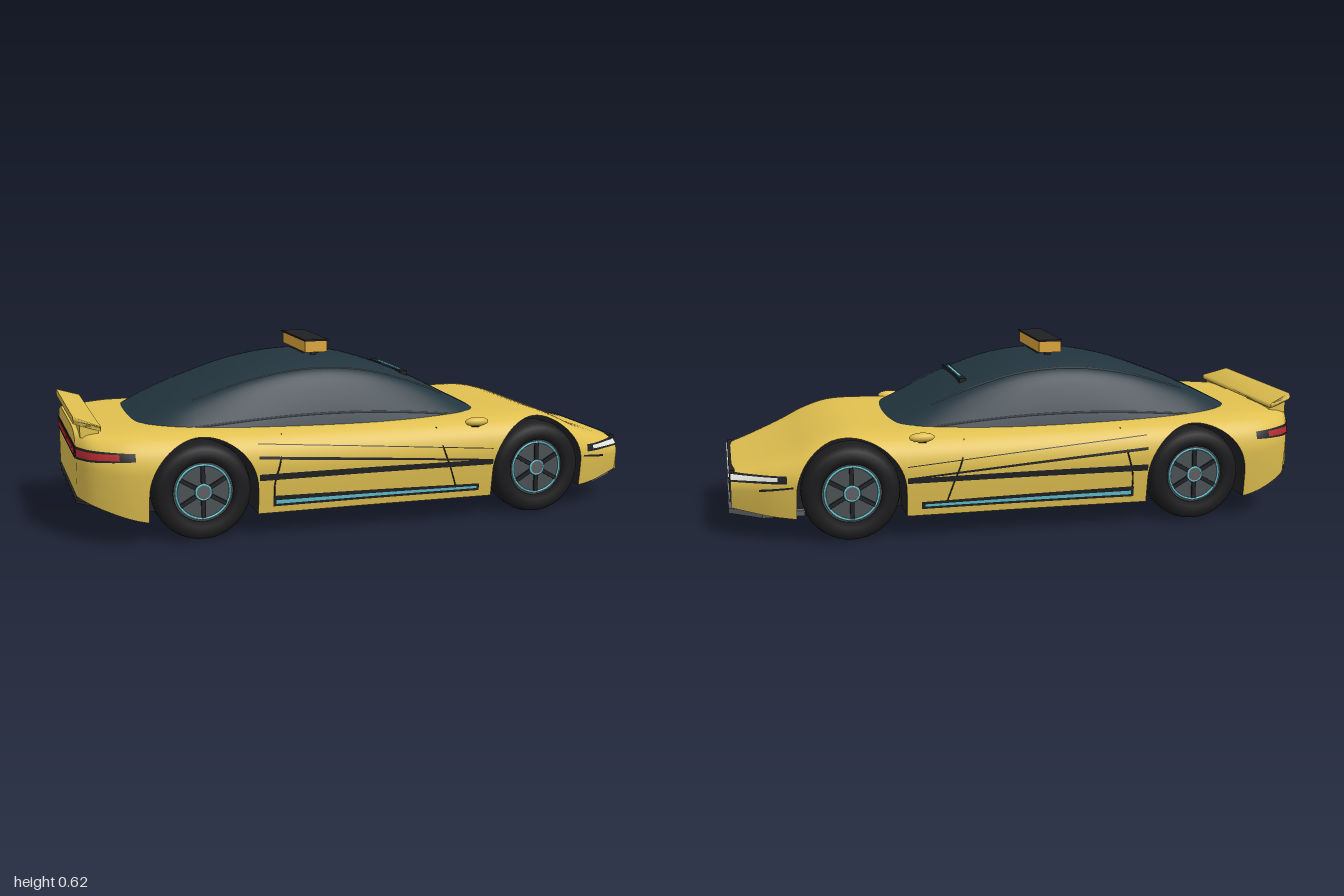
import * as THREE from 'three';

const mat = (color) => new THREE.MeshStandardMaterial({ color, side: THREE.DoubleSide });
const M = {
  paint: mat(0xe0c050), glass: mat(0x22343e), black: mat(0x202124), tyre: mat(0x1b1b1d), grey: mat(0x5c5f63),
  rim: mat(0x4a5054), cyan: mat(0x62c4d2), white: mat(0xe4e4de), red: mat(0xb02a30), amber: mat(0xdda63c), trim: mat(0x66737a),
};
const V = (x, y, z) => new THREE.Vector3(x, y, z);

// Smooth lookup in a table of [position, value]
function look(t, x) {
  if (x <= t[0][0]) return t[0][1];
  let i = 0;
  while (i < t.length - 2 && x > t[i + 1][0]) i++;
  if (x >= t[i + 1][0]) return t[i + 1][1];
  const slope = (k) => {
    const a = t[Math.max(k - 1, 0)], b = t[Math.min(k + 1, t.length - 1)];
    return (b[1] - a[1]) / (b[0] - a[0]);
  };
  const [x0, v0] = t[i], [x1, v1] = t[i + 1], d = x1 - x0, u = (x - x0) / d, u2 = u * u, u3 = u2 * u;
  return v0 * (2 * u3 - 3 * u2 + 1) + slope(i) * d * (u3 - 2 * u2 + u) + v1 * (3 * u2 - 2 * u3) + slope(i + 1) * d * (u3 - u2);
}

// Body tables along x: half width, top and underside
const WIDTH = [[-0.995, 0.29], [-0.96, 0.355], [-0.9, 0.4], [-0.83, 0.425], [-0.7, 0.434], [-0.4, 0.43], [0, 0.425], [0.4, 0.43], [0.6, 0.43], [0.75, 0.405], [0.85, 0.365], [0.93, 0.315], [0.99, 0.275]];
const TOP = [[-0.995, 0.37], [-0.9, 0.368], [-0.8, 0.372], [-0.5, 0.368], [0, 0.36], [0.4, 0.36], [0.6, 0.36], [0.7, 0.334], [0.8, 0.288], [0.9, 0.252], [0.99, 0.226]];
const UNDER = [[-0.995, 0.15], [-0.8, 0.082], [-0.7, 0.08], [0.7, 0.08], [0.85, 0.086], [0.99, 0.103]];
// Half section from top centre to sill: [width fraction, height fraction]
const SECTION = new THREE.CatmullRomCurve3([[0, 1], [0.3, 1], [0.58, 0.997], [0.78, 0.972], [0.88, 0.92], [0.94, 0.84], [0.98, 0.74], [1, 0.6], [0.995, 0.45], [0.975, 0.2], [0.955, 0]]
  .map(([w, h]) => V(w, h, 0))).getPoints(40);

function sideZ(x, y) {
  const b = look(UNDER, x), h = (y - b) / (look(TOP, x) - b);
  for (let i = SECTION.length - 1; i > 0; i--) {
    const p = SECTION[i], q = SECTION[i - 1];
    if (h <= q.y && q.y > p.y) return look(WIDTH, x) * (p.x + (q.x - p.x) * Math.max(0, (h - p.y) / (q.y - p.y)));
  }
  return 0;
}

function loft(rows, material, name) {
  const n = rows[0].length, index = [];
  for (let i = 0; i < rows.length - 1; i++) for (let j = 0; j < n - 1; j++) {
    const a = i * n + j, b = a + n;
    index.push(a, a + 1, b, b, a + 1, b + 1);
  }
  const g = new THREE.BufferGeometry().setFromPoints(rows.flat());
  g.setIndex(index);
  g.computeVertexNormals();
  return mesh(g, material, name);
}
function mesh(g, material, name) {
  const m = new THREE.Mesh(g, material);
  m.name = name;
  return m;
}
function box(x0, x1, y0, y1, z0, z1, material, name) {
  const m = mesh(new THREE.BoxGeometry(x1 - x0, y1 - y0, z1 - z0), material, name);
  m.position.set((x0 + x1) / 2, (y0 + y1) / 2, (z0 + z1) / 2);
  return m;
}
const tube = (pts, r, material, name) =>
  mesh(new THREE.TubeGeometry(new THREE.CatmullRomCurve3(pts), 40, r, 5), material, name);

// Strip lying on the body side; low and high edges are [start, end] heights
function ribbon(s, x0, x1, low, high, lift, material, name) {
  const rows = [];
  for (let i = 0; i <= 24; i++) {
    const u = i / 24, x = x0 + (x1 - x0) * u, a = low[0] + (low[1] - low[0]) * u, b = high[0] + (high[1] - high[0]) * u;
    rows.push([0, 0.33, 0.67, 1].map((t) => V(x, a + (b - a) * t, s * (sideZ(x, a + (b - a) * t) + lift))));
  }
  return loft(rows, material, name);
}

const AXLES = [-0.6, 0.6], ARCH = 0.18, HUB = 0.165, WELL = 0.27;

function makeBody() {
  const g = new THREE.Group();
  g.name = 'body';
  // Stations: plain stretches alternate with the wheel arches
  const range = (a, b, n, arch) => Array.from({ length: n + 1 }, (_, i) => ({ x: a + (b - a) * i / n, arch: false }));
  const archRange = (c) => [{ x: c - ARCH - 0.001, arch: false }, ...Array.from({ length: 29 }, (_, i) => {
    const a = Math.PI * (1 - i / 28);
    return { x: c + ARCH * Math.cos(a), arch: true, y: HUB + ARCH * Math.sin(a) };
  }), { x: c + ARCH + 0.001, arch: false }];
  const e = ARCH + 0.001;
  const parts = [range(-0.995, -0.6 - e, 16), archRange(-0.6), range(-0.6 + e, 0.6 - e, 30), archRange(0.6), range(0.6 + e, 0.99, 18)];
  const edge = (s) => (s.arch ? s.y : look(UNDER, s.x));
  const skin = (s) => {
    const b = look(UNDER, s.x), t = look(TOP, s.x), w = look(WIDTH, s.x), yb = edge(s);
    const half = SECTION.map((p) => {
      const y = b + p.y * (t - b);
      return y >= yb ? V(s.x, y, w * p.x) : V(s.x, yb, sideZ(s.x, yb));
    });
    return [...half.slice(1).reverse().map((p) => V(p.x, p.y, -p.z)), ...half];
  };
  const all = parts.flat(), rows = all.map(skin);
  g.add(loft(rows, M.paint, 'bodyShell'));
  for (const r of [rows[0], rows[rows.length - 1]])
    g.add(loft([r, r.map((p) => V(p.x, r[0].y, p.z))], M.paint, 'endPanel'));
  g.add(loft(all.map((s) => [-1, 1].map((k) => V(s.x, look(UNDER, s.x), k * Math.min(WELL, sideZ(s.x, look(UNDER, s.x)))))), M.paint, 'floor'));
  parts.forEach((part, i) => [1, -1].forEach((k) => g.add(loft(part.map((s) => {
    const y = edge(s), b = look(UNDER, s.x), z = sideZ(s.x, y), zi = Math.min(WELL, z);
    return [V(s.x, y, k * z), V(s.x, y, k * zi), V(s.x, b, k * zi)];
  }), i % 2 ? M.black : M.paint, i % 2 ? 'wheelArchLiner' : 'sillUnderside'))));
  return g;
}

// Glass canopy
const ROOF = [[-0.8, 0.368], [-0.7, 0.418], [-0.6, 0.462], [-0.4, 0.532], [-0.2, 0.565], [0, 0.55], [0.2, 0.482], [0.4, 0.378], [0.46, 0.345]];
const ROOFWIDTH = [[-0.8, 0.27], [-0.7, 0.315], [-0.6, 0.335], [-0.4, 0.346], [0, 0.342], [0.2, 0.33], [0.46, 0.295]];
const GLASS = new THREE.CatmullRomCurve3([[1, 0], [0.95, 0.22], [0.86, 0.54], [0.78, 0.76], [0.71, 0.86], [0.58, 0.93], [0.4, 0.975], [0.2, 0.995], [0, 1]]
  .map(([w, h]) => V(w, h, 0))).getPoints(24);
const BASE = 0.335;
function canopyPoint(x, p, s) {
  const bow = 0.03 * Math.max(0, (x - 0.1) / 0.36) ** 2 * (0.5 - p.x * p.x);
  return V(x + bow, BASE + p.y * (look(ROOF, x) - BASE), s * p.x * look(ROOFWIDTH, x));
}
function makeCanopy() {
  const g = new THREE.Group(), rows = [];
  g.name = 'canopy';
  for (let i = 0; i <= 50; i++) {
    const x = -0.8 + 1.26 * i / 50;
    rows.push([...GLASS.map((p) => canopyPoint(x, p, 1)), ...GLASS.slice(0, -1).reverse().map((p) => canopyPoint(x, p, -1))]);
  }
  g.add(loft(rows, M.glass, 'glass'));
  for (const s of [1, -1]) {
    const line = (x0, x1, h) => Array.from({ length: 14 }, (_, i) => canopyPoint(x0 + (x1 - x0) * i / 13, h, s));
    g.add(tube(line(-0.6, 0.3, GLASS[12]), 0.003, M.trim, 'windowTrim'));
    g.add(tube(line(-0.66, 0.3, V(0.945, 0.235, 0)), 0.003, M.trim, 'lowerWindowTrim'));
  }
  return g;
}

function makeWheel() {
  const g = new THREE.Group();
  g.name = 'wheel';
  const add = (geo, material, name, z) => {
    const m = mesh(geo, material, name);
    m.position.z = z;
    g.add(m);
    return m;
  };
  const profile = [[0.1, -0.05], [0.115, -0.06], [0.145, -0.058], [0.159, -0.045], [0.165, -0.02], [0.165, 0.02], [0.159, 0.045], [0.145, 0.058], [0.115, 0.06], [0.1, 0.05], [0.1, -0.05]];
  add(new THREE.LatheGeometry(profile.map(([r, y]) => new THREE.Vector2(r, y)), 40), M.tyre, 'tyre', 0).rotation.x = Math.PI / 2;
  add(new THREE.CylinderGeometry(0.102, 0.102, 0.085, 32), M.rim, 'rim', 0).rotation.x = Math.PI / 2;
  add(new THREE.TorusGeometry(0.09, 0.004, 6, 40), M.cyan, 'rimRing', 0.046);
  add(new THREE.TorusGeometry(0.025, 0.004, 6, 24), M.cyan, 'hubRing', 0.052);
  add(new THREE.CylinderGeometry(0.024, 0.024, 0.02, 20), M.grey, 'hub', 0.045).rotation.x = Math.PI / 2;
  for (let i = 0; i < 6; i++) {
    const spoke = add(new THREE.BoxGeometry(0.014, 0.066, 0.012).translate(0, 0.055, 0), M.black, 'spoke', 0.044);
    spoke.rotation.z = i * Math.PI / 3;
  }
  return g;
}

export function createModel() {
  const g = new THREE.Group();
  g.name = 'car';
  g.add(makeBody(), makeCanopy());
  for (const s of [1, -1]) {
    for (const x of AXLES) {
      const w = makeWheel();
      w.position.set(x, HUB, s * 0.35);
      if (s < 0) w.rotation.y = Math.PI;
      g.add(w);
    }
    // Side stripes, sill light, wrap lamps
    g.add(ribbon(s, -0.418, 0.418, [0.195, 0.195], [0.217, 0.213], 0.003, M.black, 'sideStripe'));
    g.add(ribbon(s, -0.418, 0.418, [0.268, 0.208], [0.278, 0.214], 0.003, M.black, 'taperStripe'));
    g.add(ribbon(s, -0.418, 0.418, [0.315, 0.25], [0.318, 0.253], 0.002, M.black, 'creaseLine'));
    g.add(ribbon(s, -0.37, 0.37, [0.103, 0.103], [0.14, 0.128], 0.004, M.black, 'sillPanel'));
    g.add(ribbon(s, -0.36, 0.36, [0.112, 0.112], [0.125, 0.12], 0.007, M.cyan, 'sillLight'));
    g.add(ribbon(s, 0.81, 0.99, [0.205, 0.196], [0.23, 0.222], 0.003, M.black, 'headlampSurround'));
    g.add(ribbon(s, 0.84, 0.99, [0.212, 0.202], [0.224, 0.217], 0.006, M.white, 'headlamp'));
    g.add(ribbon(s, 0.79, 0.9, [0.19, 0.172], [0.196, 0.18], 0.003, M.black, 'noseLine'));
    g.add(ribbon(s, -0.995, -0.82, [0.28, 0.285], [0.32, 0.31], 0.003, M.black, 'tailLampSurround'));
    g.add(ribbon(s, -0.995, -0.87, [0.288, 0.29], [0.312, 0.308], 0.006, M.red, 'tailLamp'));
    for (const seam of [[[-0.33, 0.34], [-0.345, 0.26], [-0.365, 0.18], [-0.365, 0.12]], [[0.22, 0.33], [0.235, 0.26], [0.265, 0.18], [0.285, 0.12]]])
      g.add(tube(seam.map(([x, y]) => V(x, y, s * sideZ(x, y))), 0.0025, M.black, 'doorSeam'));
    // Mirror on a short stalk
    const mirror = mesh(new THREE.SphereGeometry(1, 20, 12), M.paint, 'mirror');
    mirror.scale.set(0.043, 0.016, 0.019);
    mirror.position.set(0.365, 0.344, s * 0.402);
    g.add(mirror, box(0.35, 0.375, 0.325, 0.34, s * 0.39 - 0.012, s * 0.39 + 0.012, M.black, 'mirrorStalk'));
    g.add(box(0.98, 0.995, 0.118, 0.188, s * 0.23 - 0.012, s * 0.23 + 0.012, M.black, 'cornerLampSurround'));
    g.add(box(0.985, 0.998, 0.126, 0.18, s * 0.23 - 0.007, s * 0.23 + 0.007, M.white, 'cornerLamp'));
    g.add(box(-0.15, -0.13, 0.55, 0.58, s * 0.11 - 0.006, s * 0.11 + 0.006, M.black, 'signFoot'));
  }
  // Nose and tail lights
  g.add(box(0.975, 0.994, 0.195, 0.228, -0.245, 0.245, M.black, 'lightBarSurround'));
  g.add(box(0.98, 0.998, 0.203, 0.22, -0.24, 0.24, M.white, 'lightBar'));
  g.add(box(0.98, 0.995, 0.13, 0.151, -0.118, 0.118, M.black, 'grille'));
  g.add(box(-0.998, -0.985, 0.28, 0.32, -0.285, 0.285, M.black, 'rearLampSurround'));
  for (let i = 0; i < 10; i++)
    g.add(box(-1, -0.985, 0.288, 0.312, -0.278 + i * 0.056, -0.226 + i * 0.056, M.red, 'rearLamp'));
  // Roof sign and windscreen slat
  g.add(box(-0.18, -0.1, 0.575, 0.616, -0.15, 0.15, M.amber, 'roofSign'));
  g.add(box(-0.183, -0.097, 0.614, 0.62, -0.155, 0.155, M.black, 'signTop'));
  g.add(box(-0.17, -0.11, 0.55, 0.576, -0.078, 0.078, M.black, 'signBase'));
  g.add(box(0.168, 0.192, 0.478, 0.496, -0.165, 0.165, M.black, 'windscreenSlat'));
  g.add(box(0.176, 0.186, 0.485, 0.499, -0.12, 0.12, M.cyan, 'slatLight'));
  // Front splitter
  const plan = new THREE.Shape([[0.75, -0.3], [0.89, -0.3], [1, -0.21], [1, 0.21], [0.89, 0.3], [0.75, 0.3]].map(([x, z]) => new THREE.Vector2(x, z)));
  const splitter = mesh(new THREE.ExtrudeGeometry(plan, { depth: 0.018, bevelEnabled: false }), M.grey, 'splitter');
  splitter.rotation.x = Math.PI / 2;
  splitter.position.y = 0.089;
  g.add(splitter);
  // Rear wing, tapering in plan towards the tail
  const wing = [[-1, 0.418], [-0.915, 0.388], [-0.915, 0.372], [-1, 0.395], [-1, 0.418]];
  g.add(loft([0, -1, 1, 0].map((s) => wing.map(([x, y]) => V(x, s ? y : 0.393 - (x + 0.957) * 0.3, (s || 0) * (x < -0.95 ? 0.29 : 0.325)))).map((r, i) => (i % 3 ? r : r.map((p) => V(p.x, p.y, i ? 0.3 : -0.3)))), M.paint, 'rearWing'));
  for (const s of [1, -1]) g.add(box(-0.98, -0.92, 0.35, 0.388, s * 0.2 - 0.1, s * 0.2 + 0.1, M.paint, 'wingMount'));
  // Diffuser with fins
  const slope = (y, z) => [V(-0.78, 0.07 + y, z), V(-1, 0.142 + y, z)];
  g.add(loft([slope(0, -0.29), slope(0, 0.29)], M.black, 'diffuser'));
  for (let i = -3; i <= 3; i++) {
    const fin = mesh(new THREE.BoxGeometry(0.225, 0.024, 0.008), M.black, 'diffuserFin');
    fin.position.set(-0.888, 0.1, i * 0.082);
    fin.rotation.z = -0.32;
    g.add(fin);
  }
  return g;
}
